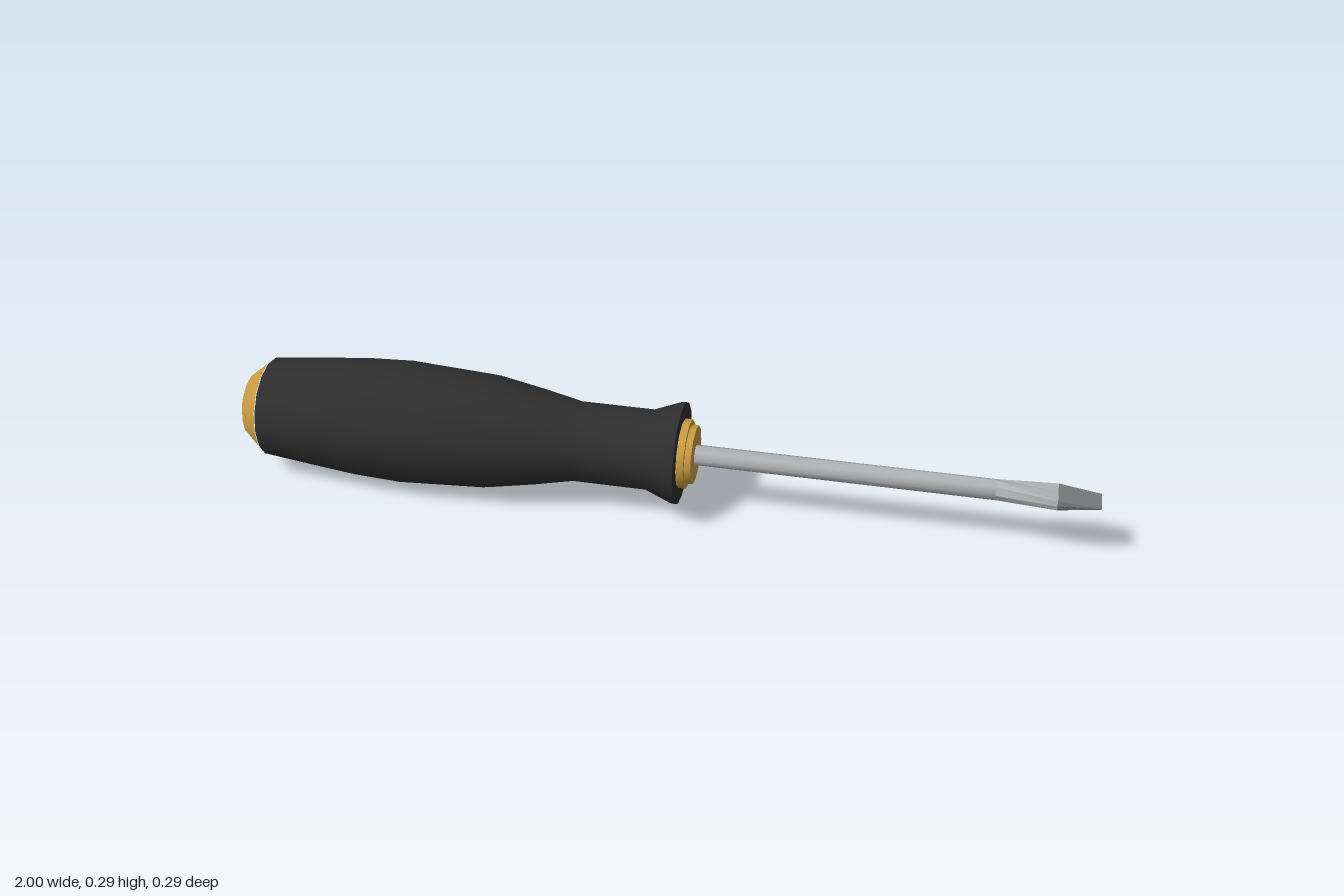
import * as THREE from 'three';
import { toCreasedNormals } from 'three/addons/utils/BufferGeometryUtils.js';

const AXIS_Y = 0.146;

const paint = (name, color) => {
  const m = new THREE.MeshStandardMaterial({ color });
  m.name = name;
  return m;
};

// Turned part along the x axis; profile is a list of [x, radius]
function turned(name, profile, sides, material) {
  const pts = profile.map(([x, r]) => new THREE.Vector2(r, x));
  const geo = new THREE.LatheGeometry(pts, sides).rotateZ(-Math.PI / 2);
  const mesh = new THREE.Mesh(toCreasedNormals(geo, 0.6), material);
  mesh.name = name;
  return mesh;
}

// Eight-sided cross-section as [y, z] points, running from +y towards +z
const round = (r) => Array.from({ length: 8 }, (_, i) => [
  r * Math.cos(i * Math.PI / 4), r * Math.sin(i * Math.PI / 4)]);
const flat = (h, w) => [[h, 0], [h, w * 0.93], [0, w], [-h, w * 0.93],
  [-h, 0], [-h, -w * 0.93], [0, -w], [h, -w * 0.93]];

// Skin between two cross-sections, with an optional closed end
function loft(name, xa, a, xb, b, material, closed) {
  const pos = [];
  const n = a.length;
  for (let i = 0; i < n; i++) {
    const j = (i + 1) % n;
    const a0 = [xa, ...a[i]], a1 = [xa, ...a[j]];
    const b0 = [xb, ...b[i]], b1 = [xb, ...b[j]];
    pos.push(...a0, ...a1, ...b1, ...a0, ...b1, ...b0);
    if (closed) pos.push(xb, 0, 0, ...b0, ...b1);
  }
  // Make sure the faces point outwards
  const geo = new THREE.BufferGeometry();
  geo.setAttribute('position', new THREE.Float32BufferAttribute(pos, 3));
  for (let t = 0; t < pos.length; t += 9) {
    const [p, q, r] = [0, 3, 6].map((k) => new THREE.Vector3().fromArray(pos, t + k));
    const normal = q.clone().sub(p).cross(r.clone().sub(p));
    const out = p.clone().add(q).add(r).divideScalar(3).sub(new THREE.Vector3((xa + xb) / 2, 0, 0));
    if (normal.dot(out) < 0) {
      geo.attributes.position.setXYZ(t / 3 + 1, r.x, r.y, r.z);
      geo.attributes.position.setXYZ(t / 3 + 2, q.x, q.y, q.z);
    }
  }
  geo.computeVertexNormals();
  const mesh = new THREE.Mesh(geo, material);
  mesh.name = name;
  return mesh;
}

export function createModel() {
  const rubber = paint('black rubber', 0x2e2e2e);
  const brass = paint('brass', 0xc99c42);
  const steel = paint('steel', 0xb0b3b5);
  const darkSteel = paint('dark steel', 0x77797c);

  const model = new THREE.Group();
  model.name = 'screwdriver';
  const body = new THREE.Group();
  body.name = 'body';
  body.position.y = AXIS_Y;
  model.add(body);

  // Swelling grip with a flared guard at its front
  body.add(turned('grip', [
    [-0.93, 0], [-0.93, 0.116], [-0.79, 0.131], [-0.70, 0.14], [-0.59, 0.145],
    [-0.39, 0.134], [-0.28, 0.114], [-0.185, 0.094], [-0.012, 0.094],
    [0.05, 0.118], [0.06, 0.119], [0.06, 0]], 16, rubber));

  // Domed butt cap
  body.add(turned('buttCap', [
    [-1, 0], [-0.998, 0.03], [-0.978, 0.076], [-0.932, 0.115]], 16, brass));

  // Stepped collar
  body.add(turned('collar', [
    [0.055, 0.08], [0.077, 0.08], [0.077, 0.068], [0.092, 0.068], [0.092, 0]], 12, brass));

  // Shaft
  body.add(turned('shaft', [[0.085, 0.024], [0.77, 0.024]], 8, steel));
  body.children.at(-1).geometry = toCreasedNormals(body.children.at(-1).geometry, 0.9);

  // Flared blade and its ground tip
  const wide = flat(0.012, 0.038);
  body.add(loft('bladeFlare', 0.77, round(0.024), 0.905, wide, steel, false));
  body.add(loft('bladeTip', 0.905, wide, 1, flat(0.003, 0.029), darkSteel, true));

  return model;
}
